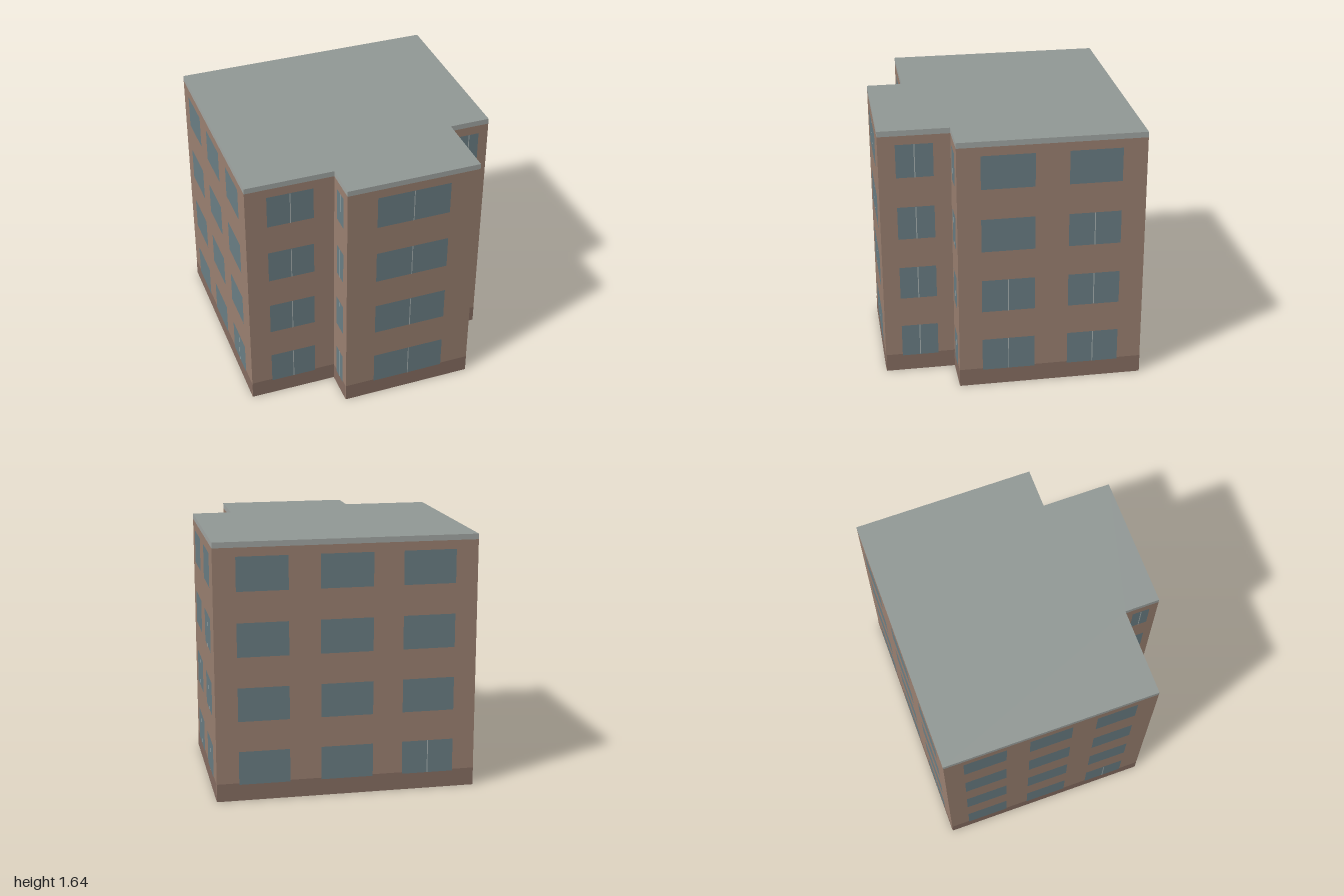
import * as THREE from 'three';

const HEIGHT = 1.64, BAND = 0.035, PLINTH = 0.115;
const FLOORS = [0.105, 0.515, 0.925, 1.335], WINDOW_H = 0.215;

// Walls in order around the footprint: start corner [x, z], window spans along
// the wall (0..1), and the number of lower floors with a central bar per span.
const WALLS = [
  { name: 'leftWall', at: [-1, -0.25], spans: [[0.09, 0.29, 0], [0.4, 0.6, 0], [0.715, 0.905, 1]] },
  { name: 'frontWall', at: [-0.395, 0.98], spans: [[0.24, 0.765, 4]] },
  { name: 'bayLeftWall', at: [0.105, 0.735], spans: [[0.25, 0.75, 4]] },
  { name: 'bayFrontWall', at: [0.205, 0.935], spans: [[0.225, 0.78, 4]] },
  { name: 'bayRightWall', at: [0.96, 0.56], spans: [[0.24, 0.76, 4]] },
  { name: 'recessWall', at: [0.765, 0.165], spans: [[0.24, 0.75, 4]] },
  { name: 'rightWall', at: [0.995, 0.05], spans: [[0.125, 0.41, 2], [0.59, 0.87, 3]] },
  { name: 'backWall', at: [0.485, -0.985], spans: [[0.085, 0.28, 0], [0.4, 0.6, 0], [0.715, 0.915, 1]] },
];

const mat = (color, side = THREE.FrontSide) => new THREE.MeshStandardMaterial({ color, side });

export function createModel() {
  const model = new THREE.Group();
  model.name = 'apartmentBlock';
  const brick = mat(0x9c8272, THREE.DoubleSide);
  const roofGrey = mat(0x929996, THREE.DoubleSide);
  const bandGrey = mat(0xa3a8a5, THREE.DoubleSide);
  const plinthBrown = mat(0x886f63);
  const glass = mat(0x6b7f85);
  const barGrey = mat(0xa8b2b2);

  // Flat rectangle in a wall's own plane, from corner (x0, y0) to (x1, y1)
  const panel = (parent, name, x0, x1, y0, y1, z, material) => {
    const mesh = new THREE.Mesh(new THREE.PlaneGeometry(x1 - x0, y1 - y0), material);
    mesh.position.set((x0 + x1) / 2, (y0 + y1) / 2, z);
    mesh.name = name;
    parent.add(mesh);
  };

  WALLS.forEach(({ name, at: [px, pz], spans }, i) => {
    const [qx, qz] = WALLS[(i + 1) % WALLS.length].at;
    const length = Math.hypot(qx - px, qz - pz);
    const wall = new THREE.Group();
    wall.name = name;
    wall.position.set(px, 0, pz);
    wall.rotation.y = Math.atan2(pz - qz, qx - px);
    model.add(wall);

    // Wall face, plinth strip and roof edge
    panel(wall, 'wallFace', 0, length, 0, HEIGHT - BAND, 0, brick);
    panel(wall, 'plinth', 0, length, 0, PLINTH, 0.0015, plinthBrown);
    panel(wall, 'roofEdge', 0, length, HEIGHT - BAND, HEIGHT, 0, bandGrey);

    // Windows on every floor
    for (const [a, b, bars] of spans) {
      FLOORS.forEach((y, floor) => {
        panel(wall, 'window', a * length, b * length, y, y + WINDOW_H, 0.003, glass);
        const mid = (a + b) / 2 * length;
        if (floor < bars) panel(wall, 'windowBar', mid - 0.003, mid + 0.003, y, y + WINDOW_H, 0.0045, barGrey);
      });
    }
  });

  // Flat roof over the whole footprint; the underside is open
  const outline = new THREE.Shape(WALLS.map(({ at: [x, z] }) => new THREE.Vector2(x, -z)));
  const roof = new THREE.Mesh(new THREE.ShapeGeometry(outline).rotateX(-Math.PI / 2), roofGrey);
  roof.position.y = HEIGHT;
  roof.name = 'roof';
  model.add(roof);

  return model;
}
